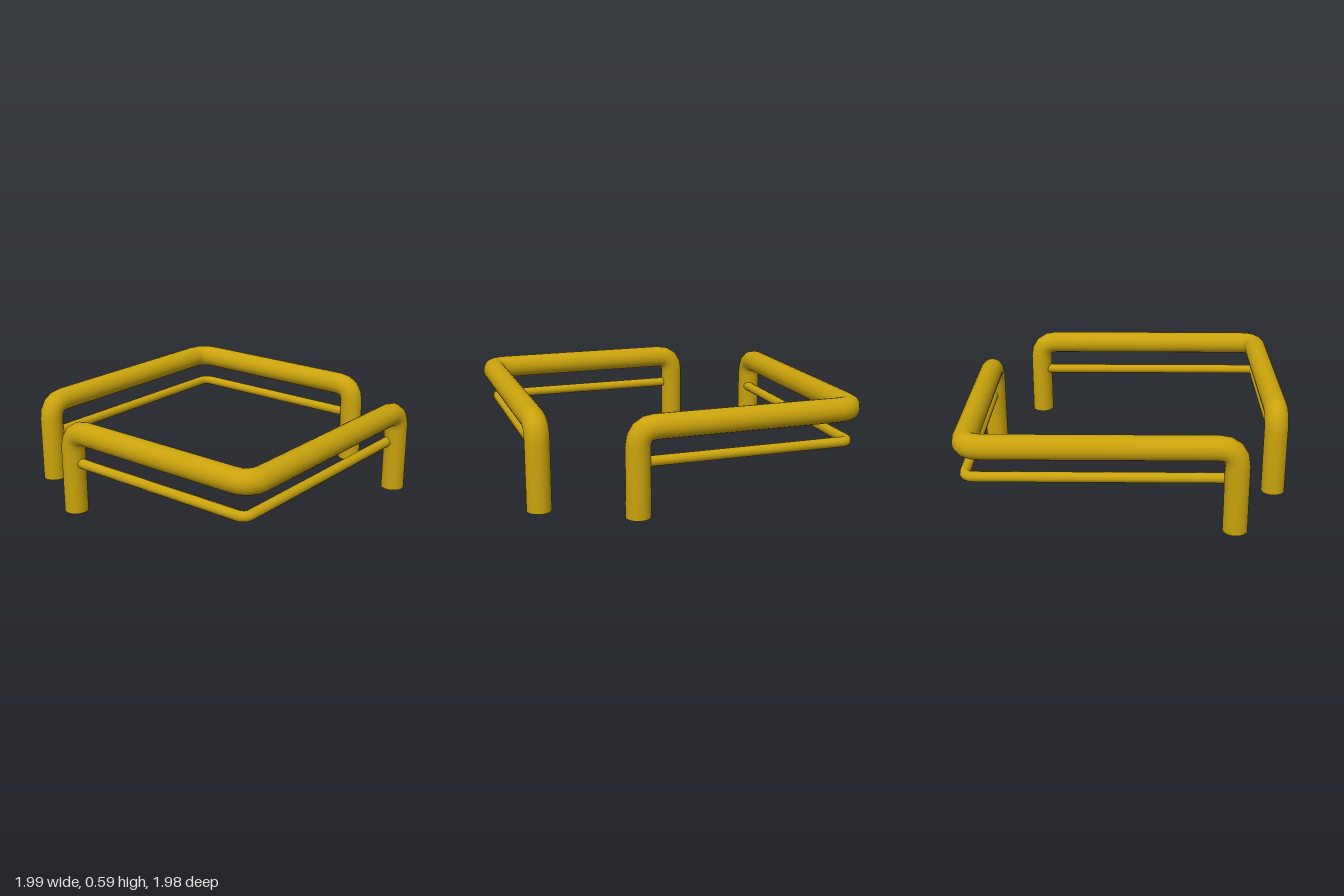
import * as THREE from 'three';

// Path through points, swept with one ring per point
class BentPath extends THREE.Curve {
  constructor(points) {
    super();
    this.points = points;
  }
  getPointAt(u, target = new THREE.Vector3()) {
    return target.copy(this.points[Math.round(u * (this.points.length - 1))]);
  }
  getPoint(u, target) {
    return this.getPointAt(u, target);
  }
  getTangentAt(u, target = new THREE.Vector3()) {
    const p = this.points, n = p.length - 1, i = Math.round(u * n);
    target.set(0, 0, 0);
    if (i > 0) target.add(p[i].clone().sub(p[i - 1]).normalize());
    if (i < n) target.add(p[i + 1].clone().sub(p[i]).normalize());
    return target.normalize();
  }
}

// Replaces each inner corner of a path by a rounded bend
function roundCorners(corners, bend, steps = 4) {
  const pts = corners.map((c) => new THREE.Vector3(...c));
  const out = [pts[0]];
  for (let i = 1; i < pts.length - 1; i++) {
    const from = pts[i - 1].clone().sub(pts[i]).setLength(bend).add(pts[i]);
    const to = pts[i + 1].clone().sub(pts[i]).setLength(bend).add(pts[i]);
    out.push(...new THREE.QuadraticBezierCurve3(from, pts[i], to).getPoints(steps));
  }
  out.push(pts[pts.length - 1]);
  return out;
}

function bentTube(name, corners, bend, radius, sides, material) {
  const points = roundCorners(corners, bend);
  const geometry = new THREE.TubeGeometry(new BentPath(points), points.length - 1, radius, sides, false);
  const mesh = new THREE.Mesh(geometry, material);
  mesh.name = name;
  return mesh;
}

export function createModel() {
  const model = new THREE.Group();
  model.name = 'cornerGuardRails';
  // Tubes are open at the feet
  const yellow = new THREE.MeshStandardMaterial({ color: 0xc9a20c, side: THREE.DoubleSide });

  const postX = -0.415, postZ = -0.635, side = 0.922, top = 0.518;

  // Two identical L-shaped guards, half a turn apart
  for (const [name, turn] of [['frontLeftGuard', 0], ['backRightGuard', Math.PI]]) {
    const guard = new THREE.Group();
    guard.name = name;

    // Posts and top rail in one bent tube
    guard.add(bentTube('mainRail', [
      [postX, 0, 0.915],
      [postX, top, 0.915],
      [side, top, 0.912],
      [side, top, postZ],
      [side, 0, postZ],
    ], 0.11, 0.073, 20, yellow));

    // Thin lower rail between the posts
    guard.add(bentTube('lowerRail', [
      [postX, 0.322, 0.917],
      [0.897, 0.322, 0.917],
      [0.897, 0.322, postZ],
    ], 0.06, 0.031, 12, yellow));

    guard.rotation.y = turn;
    model.add(guard);
  }
  return model;
}
